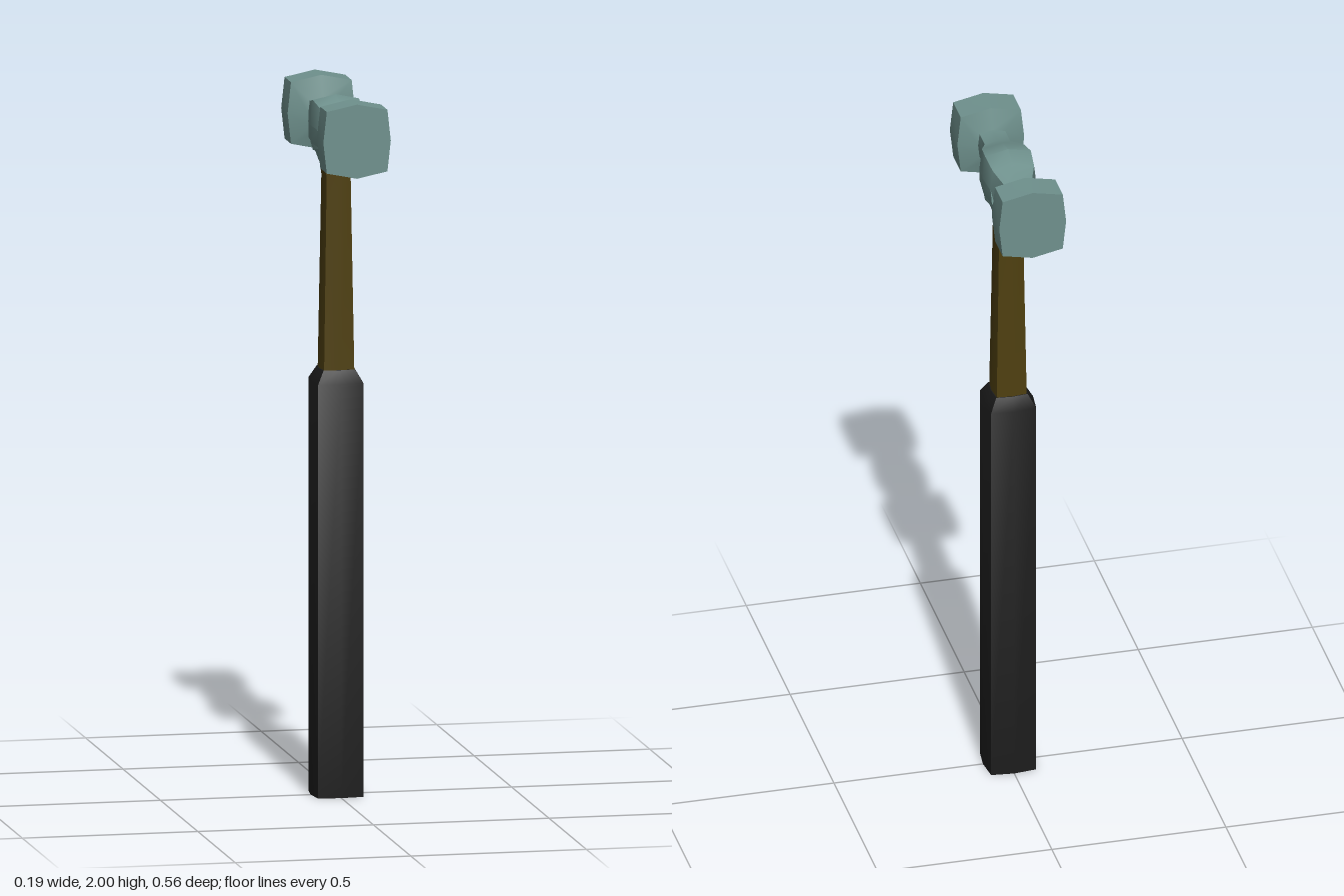
import * as THREE from 'three';
import { toCreasedNormals } from 'three/addons/utils/BufferGeometryUtils.js';

// Lofts a bulged-square section along +z; each ring is [z, halfX, halfY, centreY = 0]
function loft(rings) {
  const pos = [], index = [], n = 8;
  for (const [z, hx, hy, cy = 0] of rings) {
    for (let i = 0; i < n; i++) {
      const a = (i * Math.PI) / 4;
      // corners sit slightly inside the mid-side points
      const s = i % 2 ? 0.9 * Math.SQRT2 : 1;
      const sy = i % 2 ? 0.83 / 0.9 : 1;
      const k = hy > hx ? sy : 1;
      pos.push(Math.cos(a) * hx * s, cy + Math.sin(a) * hy * s * k, z);
    }
  }
  for (let r = 0; r < rings.length - 1; r++) {
    for (let i = 0; i < n; i++) {
      const j = (i + 1) % n, a = r * n + i, b = r * n + j;
      index.push(a, b, b + n, a, b + n, a + n);
    }
  }
  // end caps
  const last = (rings.length - 1) * n;
  for (let i = 1; i < n - 1; i++) {
    index.push(0, i + 1, i, last, last + i, last + i + 1);
  }
  const g = new THREE.BufferGeometry();
  g.setAttribute('position', new THREE.Float32BufferAttribute(pos, 3));
  g.setIndex(index);
  return g;
}

const upright = (rings) => loft(rings).rotateX(-Math.PI / 2);

export function createModel() {
  const model = new THREE.Group();
  const steel = new THREE.MeshStandardMaterial({ color: 0x6f918d });
  const wood = new THREE.MeshStandardMaterial({ color: 0x4f4010 });
  const rubber = new THREE.MeshStandardMaterial({ color: 0x1c1c1c });

  const add = (name, geometry, material, parent = model) => {
    const mesh = new THREE.Mesh(toCreasedNormals(geometry, 0.6), material);
    mesh.name = name;
    parent.add(mesh);
    return mesh;
  };

  // Grip and shaft
  add('grip', upright([
    [0, 0.072, 0.072], [1.17, 0.072, 0.072], [1.207, 0.05, 0.05],
  ]), rubber);
  add('shaft', upright([
    [1.19, 0.048, 0.048], [1.75, 0.038, 0.043], [1.81, 0.047, 0.043],
  ]), wood);

  // Double-faced head: one half profile mirrored along z
  const head = new THREE.Group();
  head.name = 'head';
  head.position.y = 1.895;
  model.add(head);
  const half = [
    [0.282, 0.096, 0.105], [0.196, 0.096, 0.105], [0.178, 0.041, 0.044],
    [0.12, 0.041, 0.044], [0.062, 0.066, 0.07],
  ];
  const rings = [
    ...half.map(([z, ...size]) => [-z, ...size]),
    [0, 0.073, 0.085],
    ...half.slice().reverse(),
  ];
  add('hammerHead', loft(rings), steel, head);

  // Socket where the shaft enters the head
  add('socket', upright([
    [-0.105, 0.046, 0.045], [-0.068, 0.06, 0.055], [-0.045, 0.071, 0.085], [0, 0.073, 0.075],
  ]), steel, head);

  return model;
}
